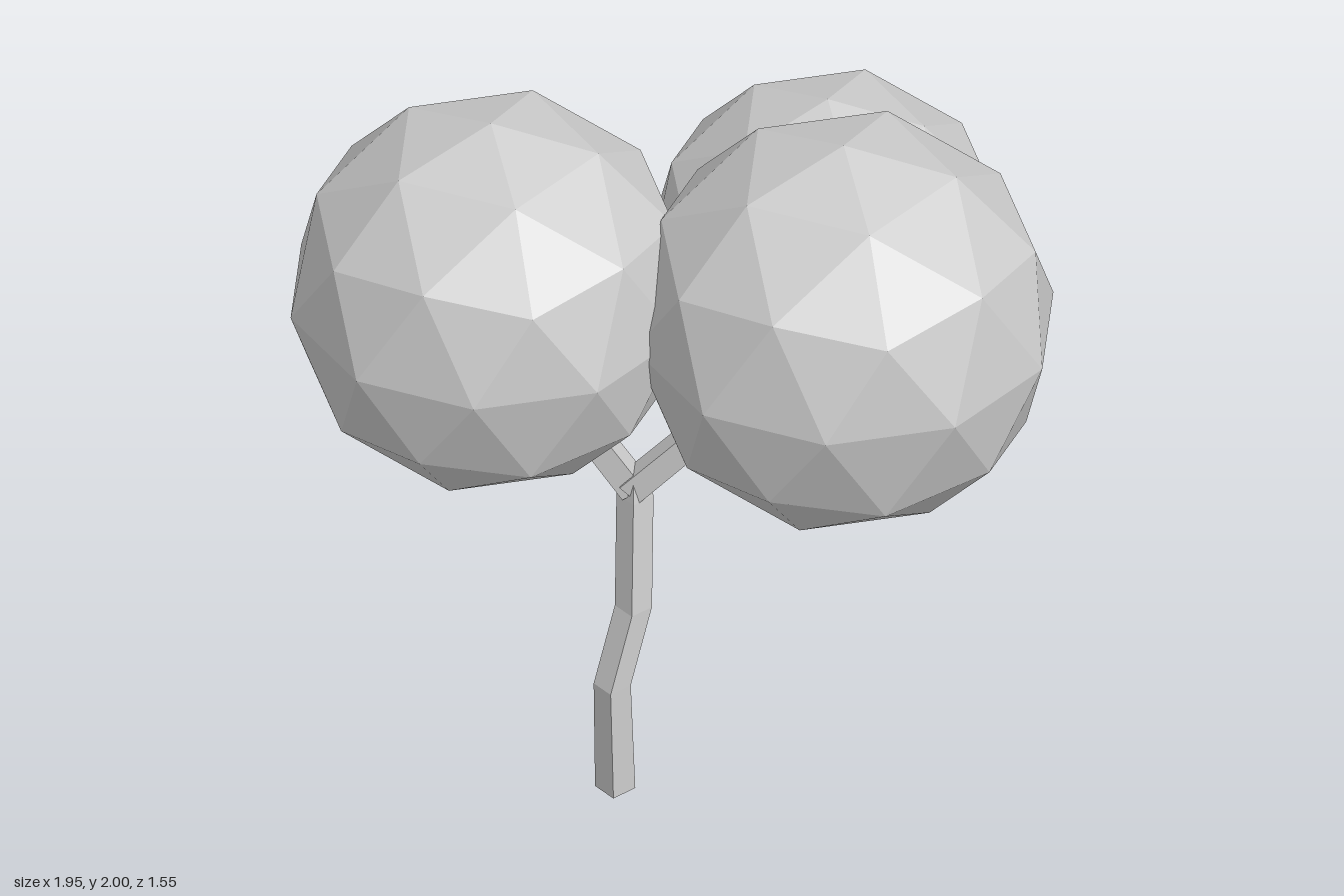
import * as THREE from 'three';

const material = new THREE.MeshStandardMaterial({ color: 0xcccccc, flatShading: true });
const UP = new THREE.Vector3(0, 1, 0);

// Four-sided limb swept along points, each [x, y, z, half diagonal]
function limb(name, points, spin = 0, level = false) {
  const pts = points.map(p => new THREE.Vector3(p[0], p[1], p[2]));
  const positions = [], index = [];
  pts.forEach((p, i) => {
    const a = pts[Math.max(i - 1, 0)], b = pts[Math.min(i + 1, pts.length - 1)];
    const dir = level ? UP : b.clone().sub(a).normalize();
    const turn = new THREE.Quaternion().setFromUnitVectors(UP, dir);
    for (let k = 0; k < 4; k++) {
      const t = spin + k * Math.PI / 2, r = points[i][3];
      const v = new THREE.Vector3(Math.sin(t) * r, 0, Math.cos(t) * r).applyQuaternion(turn).add(p);
      positions.push(v.x, v.y, v.z);
    }
  });
  for (let i = 0; i < pts.length - 1; i++) {
    for (let k = 0; k < 4; k++) {
      const a = i * 4 + k, b = i * 4 + (k + 1) % 4;
      index.push(a, b, b + 4, a, b + 4, a + 4);
    }
  }
  // End caps
  const e = (pts.length - 1) * 4;
  index.push(0, 2, 1, 0, 3, 2, e, e + 1, e + 2, e, e + 2, e + 3);
  const geo = new THREE.BufferGeometry();
  geo.setAttribute('position', new THREE.Float32BufferAttribute(positions, 3));
  geo.setIndex(index);
  geo.computeVertexNormals();
  const mesh = new THREE.Mesh(geo, material);
  mesh.name = name;
  return mesh;
}

// Faceted ball of leaves with a corner at its top and bottom
function foliage(name, x, y, z, radius) {
  const geo = new THREE.IcosahedronGeometry(radius, 1);
  geo.rotateZ(-Math.atan(2 / (1 + Math.sqrt(5))));
  const mesh = new THREE.Mesh(geo, material);
  mesh.name = name;
  mesh.position.set(x, y, z);
  return mesh;
}

export function createModel() {
  const tree = new THREE.Group();
  tree.name = 'tree';

  // Crooked trunk
  tree.add(limb('trunk', [
    [-0.14, 0, 0.315, 0.052],
    [-0.147, 0.33, 0.322, 0.048],
    [-0.097, 0.54, 0.265, 0.048],
    [-0.098, 0.85, 0.205, 0.048],
    [-0.1, 0.92, 0.2, 0.035],
  ], 0, true));

  // Branches from the fork into each crown
  const q = Math.PI / 4;
  tree.add(
    limb('rightBranch', [[-0.1, 0.87, 0.2, 0.048], [-0.36, 1.25, 0.19, 0.045]], q),
    limb('leftBranch', [[-0.11, 0.87, 0.205, 0.048], [0.22, 1.22, 0.21, 0.045]], q),
    limb('backBranch', [[-0.1, 0.87, 0.2, 0.046], [0.24, 1.05, -0.18, 0.045]], q),
  );

  // Crowns
  tree.add(
    foliage('rightCrown', -0.472, 1.464, 0.19, 0.53),
    foliage('leftCrown', 0.443, 1.445, 0.22, 0.555),
    foliage('backCrown', 0.358, 1.296, -0.3, 0.475),
  );
  return tree;
}
